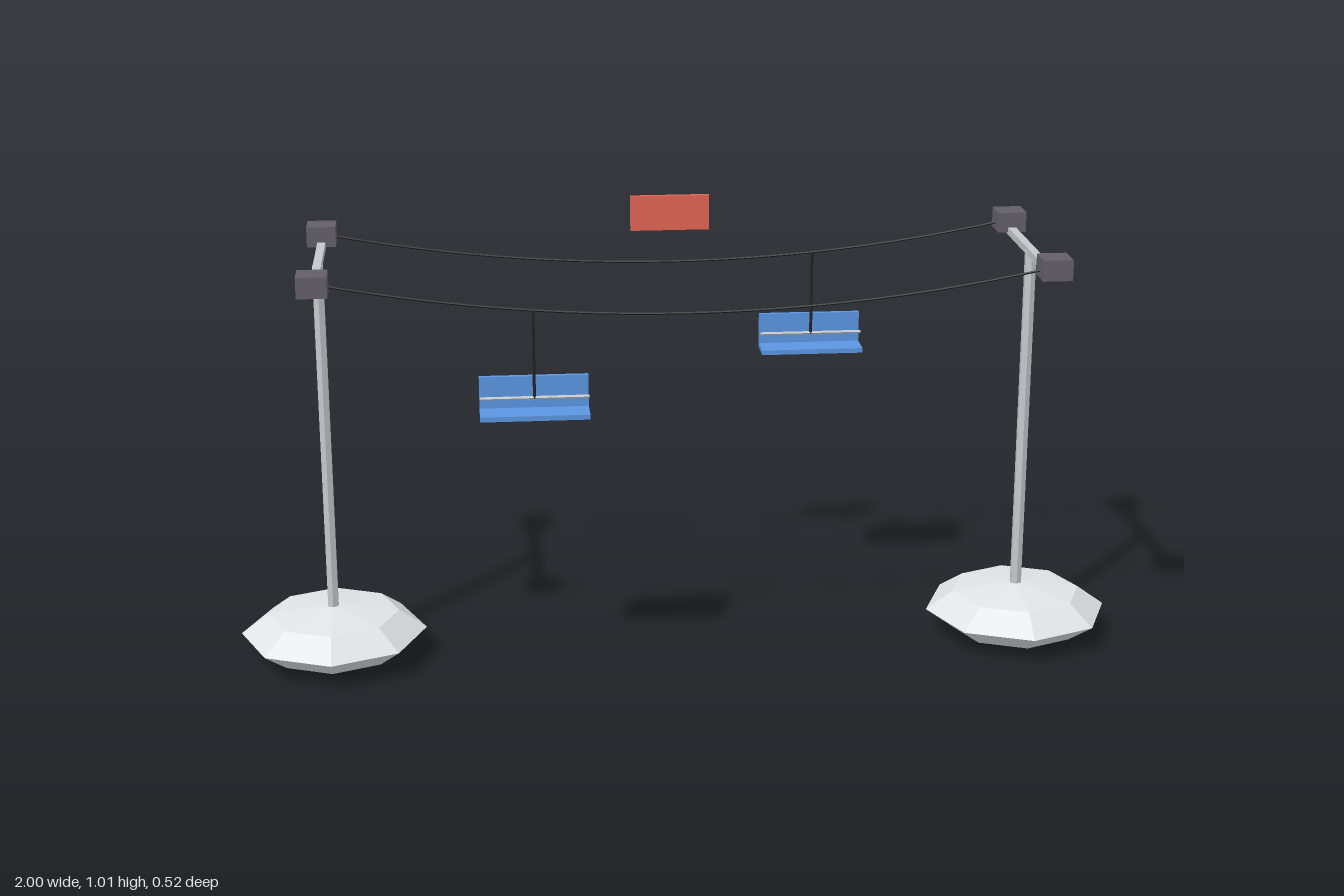
import * as THREE from 'three';

const mat = (name, color) => {
  const m = new THREE.MeshStandardMaterial({ color, flatShading: true });
  m.name = name;
  return m;
};

export function createModel() {
  const model = new THREE.Group();
  const snow = mat('snow white', 0xeceef2);
  const steel = mat('steel grey', 0xc4c8cc);
  const dark = mat('dark grey', 0x625f69);
  const black = mat('black', 0x222222);
  const blue = mat('blue', 0x5b95e2);
  const red = mat('red', 0xe06453);

  const add = (parent, name, geometry, material, x, y, z) => {
    const mesh = new THREE.Mesh(geometry, material);
    mesh.name = name;
    mesh.position.set(x, y, z);
    parent.add(mesh);
    return mesh;
  };
  const box = (w, h, d) => new THREE.BoxGeometry(w, h, d);

  const POST_X = 0.79, CABLE_Z = 0.224, END_Y = 0.938, SAG = 0.082;
  const cableY = (x) => END_Y - SAG * (1 - (x / POST_X) ** 2);

  // Two towers: faceted mound, post, crossbar and end blocks
  for (const side of [-1, 1]) {
    const tower = new THREE.Group();
    tower.name = side > 0 ? 'leftTower' : 'rightTower';
    tower.position.x = side * POST_X;
    const mound = new THREE.SphereGeometry(0.21, 8, 4).scale(1, 0.3, 1);
    add(tower, 'mound', mound, snow, 0, 0.063, 0);
    add(tower, 'post', new THREE.CylinderGeometry(0.0135, 0.0135, 0.855, 6), steel, 0, 0.4925, 0);
    add(tower, 'crossbar', box(0.018, 0.017, 2 * CABLE_Z), steel, 0, 0.918, 0);
    for (const s of [-1, 1]) {
      add(tower, 'endBlock', box(0.065, 0.046, 0.066), dark, 0, END_Y, s * CABLE_Z);
    }
    model.add(tower);
  }

  // Sagging cables
  for (const s of [-1, 1]) {
    const points = [];
    for (let i = 0; i <= 16; i++) {
      const x = -POST_X + (2 * POST_X * i) / 16;
      points.push(new THREE.Vector3(x, cableY(x), 0));
    }
    const tube = new THREE.TubeGeometry(new THREE.CatmullRomCurve3(points), 24, 0.0027, 5);
    add(model, s > 0 ? 'frontCable' : 'backCable', tube, black, 0, 0, s * CABLE_Z);
  }

  // Hanging chairs: one on each cable, both facing forward
  const makeChair = (name, x, z) => {
    const chair = new THREE.Group();
    chair.name = name;
    chair.position.set(x, 0, z);
    const top = cableY(x), low = 0.675;
    add(chair, 'hanger', new THREE.CylinderGeometry(0.0037, 0.0037, top - low, 6), black, 0, (top + low) / 2, 0);
    const rail = new THREE.CylinderGeometry(0.0037, 0.0037, 0.235, 6).rotateZ(Math.PI / 2);
    add(chair, 'safetyRail', rail, steel, 0, 0.677, 0);
    add(chair, 'seat', box(0.235, 0.011, 0.073), blue, 0, 0.6415, 0.0005);
    add(chair, 'backrest', box(0.235, 0.08, 0.011), blue, 0, 0.677, -0.032);
    model.add(chair);
  };
  makeChair('frontChair', -0.33, CABLE_Z);
  makeChair('backChair', 0.33, -CABLE_Z);

  // Blank sign above the back cable
  add(model, 'sign', box(0.18, 0.08, 0.012), red, 0, 0.971, -CABLE_Z);

  return model;
}
